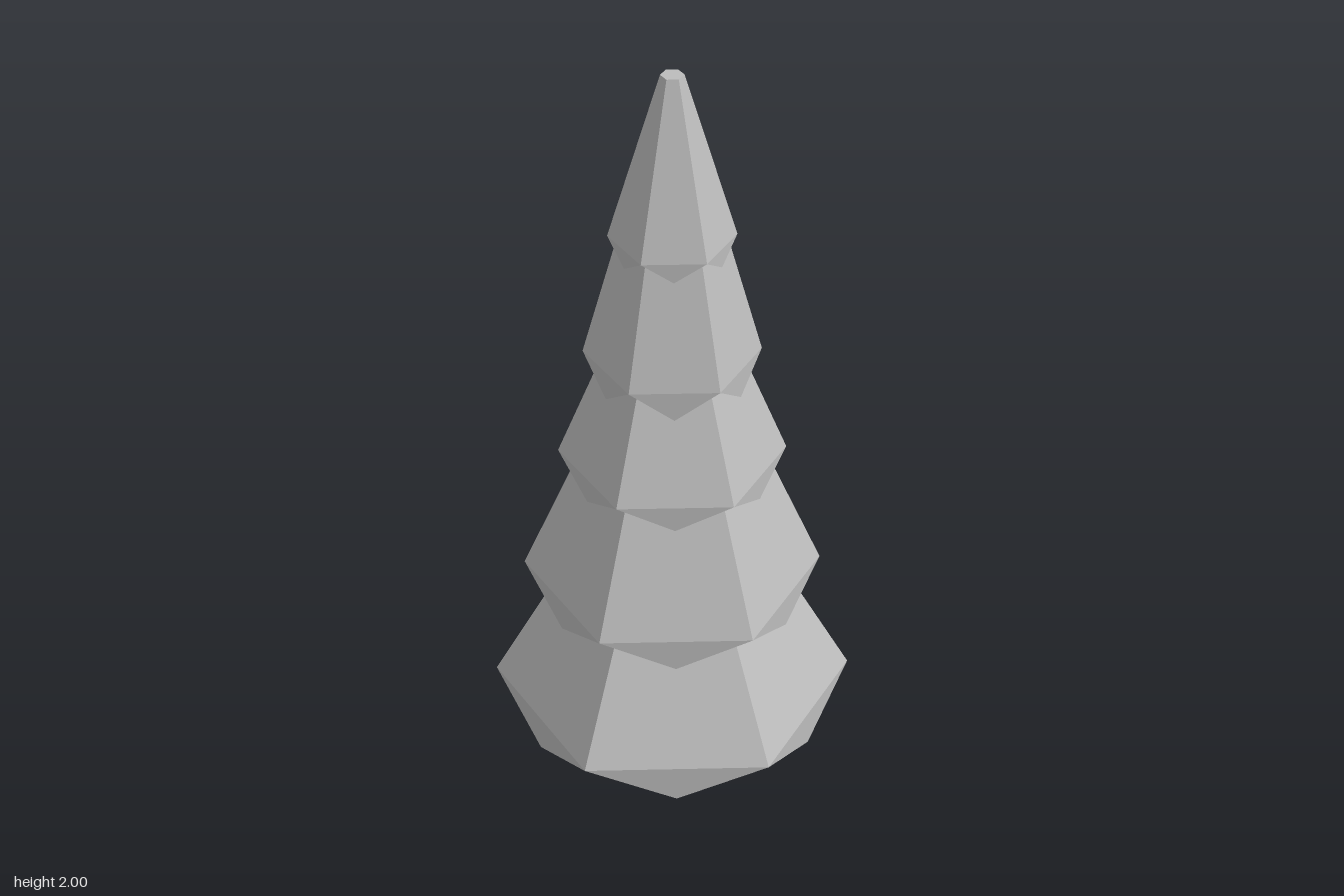
import * as THREE from 'three';

const SIDES = 6;

// Pointed fringe: one upright triangle hanging from each side of the hexagon
function fringeGeometry(radius, y, tipY) {
  const points = [];
  const corner = (i) => {
    const a = (i / SIDES) * Math.PI * 2;
    return [Math.sin(a) * radius, Math.cos(a) * radius];
  };
  for (let i = 0; i < SIDES; i++) {
    const [ax, az] = corner(i);
    const [bx, bz] = corner(i + 1);
    points.push(ax, y, az, (ax + bx) / 2, tipY, (az + bz) / 2, bx, y, bz);
  }
  const geometry = new THREE.BufferGeometry();
  geometry.setAttribute('position', new THREE.Float32BufferAttribute(points, 3));
  geometry.computeVertexNormals();
  return geometry;
}

export function createModel() {
  const model = new THREE.Group();
  model.name = 'tree';

  const foliage = new THREE.MeshStandardMaterial({
    name: 'foliageGrey', color: 0xbcbcbc, flatShading: true, side: THREE.DoubleSide,
  });

  // Tiers from the ground up: base radius, base height, tip height, top radius, top height
  const tiers = [
    [0.5, 0.11, 0, 0.175, 0.7],
    [0.408, 0.495, 0.4, 0.17, 1.05],
    [0.306, 0.875, 0.8, 0.135, 1.3],
    [0.234, 1.195, 1.11, 0.11, 1.65],
    [0.165, 1.545, 1.49, 0.03, 2],
  ];

  tiers.forEach(([radius, y, tipY, topRadius, topY], i) => {
    const tier = new THREE.Group();
    tier.name = `tier${i + 1}`;
    const add = (name, geometry) => {
      const mesh = new THREE.Mesh(geometry, foliage);
      mesh.name = name;
      tier.add(mesh);
    };

    // Sloping branches
    const slope = new THREE.CylinderGeometry(topRadius, radius, topY - y, SIDES, 1, true);
    add('branches', slope.translate(0, (y + topY) / 2, 0));

    // Hanging points
    add('fringe', fringeGeometry(radius, y, tipY));

    // Flat underside with an open middle
    const ring = new THREE.RingGeometry(radius * 0.29, radius, SIDES, 1, Math.PI / 6);
    add('underside', ring.rotateX(Math.PI / 2).translate(0, y, 0));

    // Blunt treetop
    if (i === tiers.length - 1) {
      const cap = new THREE.CircleGeometry(topRadius, SIDES, Math.PI / 6);
      add('treetop', cap.rotateX(-Math.PI / 2).translate(0, topY, 0));
    }
    model.add(tier);
  });

  return model;
}
